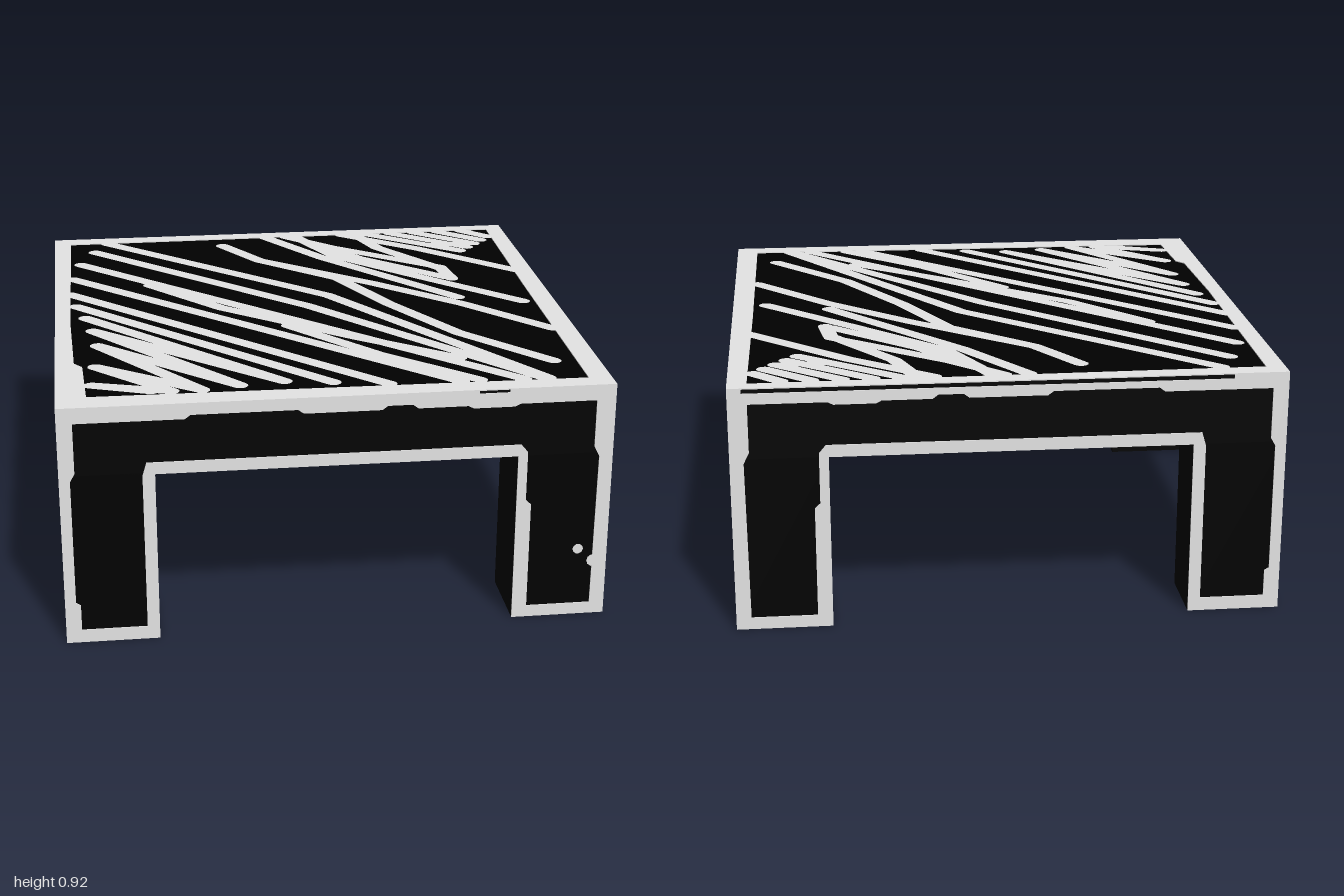
import * as THREE from 'three';

const H = 0.92, T = 0.004; // table height, thickness of the painted plates

export function createModel() {
  const group = new THREE.Group();
  const black = new THREE.MeshStandardMaterial({ color: 0x000000 });
  black.name = 'black';
  const grey = new THREE.MeshStandardMaterial({ color: 0xe5e5e5 });
  grey.name = 'light grey';

  const add = (name, geometry, material, parent = group) => {
    const mesh = new THREE.Mesh(geometry, material);
    mesh.name = name;
    parent.add(mesh);
  };
  const box = (name, x0, x1, y0, y1, z0, z1) =>
    add(name, new THREE.BoxGeometry(x1 - x0, y1 - y0, z1 - z0)
      .translate((x0 + x1) / 2, (y0 + y1) / 2, (z0 + z1) / 2), black);
  const vectors = pts => pts.map(([x, y]) => new THREE.Vector2(x, y));
  const mirror = pts => pts.map(([x, y]) => [-x, y]);
  const rect = (x0, x1, y0, y1) => [[x0, y0], [x1, y0], [x1, y1], [x0, y1]];

  // Thin plate whose outer face lies at 'front'; holes reveal the black body
  const plate = (outline, holes, front) => {
    const shape = new THREE.Shape(vectors(outline));
    holes.forEach(h => shape.holes.push(new THREE.Path(vectors(h))));
    return new THREE.ExtrudeGeometry(shape, { depth: T, bevelEnabled: false })
      .translate(0, 0, front - T);
  };

  // Black body: slab and four square legs
  const E = 1 - T;
  box('tableSlab', -E, E, 0.655, H - T, -E, E);
  for (const [side, x0, x1] of [['Right', -E, -0.66], ['Left', 0.65, E]]) {
    box('front' + side + 'Leg', x0, x1, 0, 0.66, 0.71, E);
    box('back' + side + 'Leg', x0, x1, 0, 0.66, -E, -0.75);
  }

  // Arch outline of one side, and the arch-shaped panel inside it;
  // a and b are the leg edges, step is where the outer edge jogs,
  // flare widens the border low on leg a, bumps are [start, end, rise]
  const arch = (a, b) => [[-1, 0], [a, 0], [a, 0.655], [b, 0.655], [b, 0], [1, 0], [1, H], [-1, H]];
  const panel = (a, b, top, step, flare, bumps) => [
    [-0.943, 0.05], [-0.943, step], [-0.96, step + 0.01], [-0.96, 0.64], [-0.943, 0.67], [-0.943, top],
    ...bumps.flatMap(([s, e, rise]) =>
      [[s, top], [s + 0.02, top + rise], [e - 0.02, top + rise], [e, top]]),
    [0.93, top], [0.93, 0.68], [0.95, 0.64], [0.945, 0.045],
    [b + 0.055, 0.045], [b + 0.055, 0.46], [b + 0.035, 0.48], [b + 0.035, 0.67], [b + 0.01, 0.7],
    [a - 0.03, 0.7], [a - 0.045, 0.65], [a - 0.045, 0.3], [a - 0.045 - flare, 0.28], [a - 0.045 - flare, 0.05],
  ];
  const frontArch = arch(-0.66, 0.65), sideArch = arch(-0.71, 0.75);
  const frontPanel = panel(-0.66, 0.65, 0.86, 0.15, 0,
    [[-0.55, -0.13, 0.015], [0.15, 0.28, 0.015], [0.46, 0.65, -0.01]]);
  const sidePanel = panel(-0.71, 0.75, 0.842, 0.33, 0.025,
    [[-0.52, -0.4, 0.013], [0.4, 0.72, 0.013], [0.83, 0.93, 0.013]]);

  // Grey borders on the four sides, with narrow black gaps under the rim
  const gap = (x0, x1, y) => rect(x0, x1, y, H - T);
  add('frontBorder', plate(frontArch, [frontPanel, gap(0.5, 0.61, 0.905)], 1), grey);
  add('backBorder', plate(mirror(frontArch), [mirror(frontPanel), gap(-0.95, 0.8, 0.9)], 1)
    .rotateY(Math.PI), grey);
  add('leftBorder', plate(sideArch,
    [sidePanel, gap(-0.93, -0.55, 0.907), gap(-0.5, 0.63, 0.907), gap(0.988, 0.998, 0.65)], 1)
    .rotateY(Math.PI / 2), grey);
  add('rightBorder', plate(mirror(sideArch), [mirror(sidePanel)], 1).rotateY(-Math.PI / 2), grey);

  // Small paint spots on the front leg
  add('paintSpot', new THREE.CircleGeometry(0.02, 10).translate(0.89, 0.27, 1), grey);
  add('edgeSpot', new THREE.CircleGeometry(0.025, 10).translate(0.95, 0.22, 1), grey);

  // Grey border around the table top
  const topPanel = [[-0.93, -0.93], [-0.94, 0.1], [-0.93, 0.56], [-0.9, 0.6], [-0.89, 0.9],
    [0.915, 0.925], [0.92, -0.1], [0.93, -0.945]];
  add('topBorder', plate(rect(-1, 1, -1, 1), [topPanel.map(([x, z]) => [x, -z])], H)
    .rotateX(-Math.PI / 2), grey);

  // A brush stroke is a chain of flat capsules through (x, z) points
  const R = 0.029;
  const scribble = new THREE.Group();
  scribble.name = 'topScribble';
  group.add(scribble);
  const stroke = pts => pts.slice(1).forEach(([x1, z1], k) => {
    const [x0, z0] = pts[k];
    const a = Math.atan2(z0 - z1, x1 - x0), q = Math.PI / 2;
    const shape = new THREE.Shape();
    shape.absarc(x1, -z1, R, a - q, a + q, false);
    shape.absarc(x0, -z0, R, a + q, a + 3 * q, false);
    add('brushStroke', new THREE.ShapeGeometry(shape, 5).rotateX(-Math.PI / 2).translate(0, H, 0), grey, scribble);
  });

  // Long strokes fanning from the right edge to the front edge;
  // the shorter ones zigzag back to the next start
  const starts = new THREE.SplineCurve(vectors(
    [[-0.77, -0.92], [-0.89, -0.63], [-0.94, -0.24], [-0.88, 0.06], [-0.84, 0.38], [-0.87, 0.79]]));
  const ends = new THREE.SplineCurve(vectors(
    [[0.77, 0.91], [0.68, 0.91], [0.19, 0.9], [-0.18, 0.83], [-0.48, 0.88], [-0.66, 0.87]]));
  for (let i = 0; i <= 10; i++) {
    const s = starts.getPoint(i / 10), e = ends.getPoint(i / 10);
    const bow = Math.max(0, 0.1 - 0.06 * i);
    stroke([[s.x, s.y], [(s.x + e.x) / 2 + bow, (s.y + e.y) / 2 - bow], [e.x, e.y]]);
    if (i > 5 && i < 10) {
      const next = starts.getPoint((i + 1) / 10);
      stroke([[e.x, e.y], [next.x, next.y]]);
    }
  }

  // Crossing strokes in the middle and near the front left corner
  stroke([[-0.61, -0.32], [-0.34, 0], [0.14, 0.4], [0.49, 0.67]]);
  stroke([[-0.1, 0.24], [0.2, 0.6], [0.52, 0.9]]);
  stroke([[-0.27, -0.83], [-0.13, -0.6], [0.3, -0.24], [0.62, 0.06], [0.91, 0.39]]);
  stroke([[-0.13, -0.6], [0.17, -0.32], [0.33, 0.03], [0.54, 0.4], [0.83, 0.74]]);

  // Strokes from the back edge, crowding together behind the middle
  stroke([[-0.07, -0.93], [0.14, -0.61], [0.62, -0.02]]);
  stroke([[0.02, -0.93], [0.2, -0.75], [0.62, -0.42], [0.64, -0.26]]);
  stroke([[0.06, -0.93], [0.2, -0.62], [0.55, -0.26], [0.87, 0.06]]);
  stroke([[0.1, -0.85], [0.3, -0.58], [0.62, -0.28]]);
  stroke([[0.27, -0.93], [0.57, -0.69], [0.93, -0.34]]);
  stroke([[0.33, -0.93], [0.4, -0.72], [0.62, -0.4]]);

  // Short strokes closing up toward the back left corner
  for (let i = 0; i < 5; i++) {
    stroke([[0.38 + 0.108 * i, -0.93], [0.75 + 0.04 * i, -0.64 - 0.048 * i]]);
  }
  stroke([[0.65, -0.73], [0.82, -0.74]]);

  return group;
}
